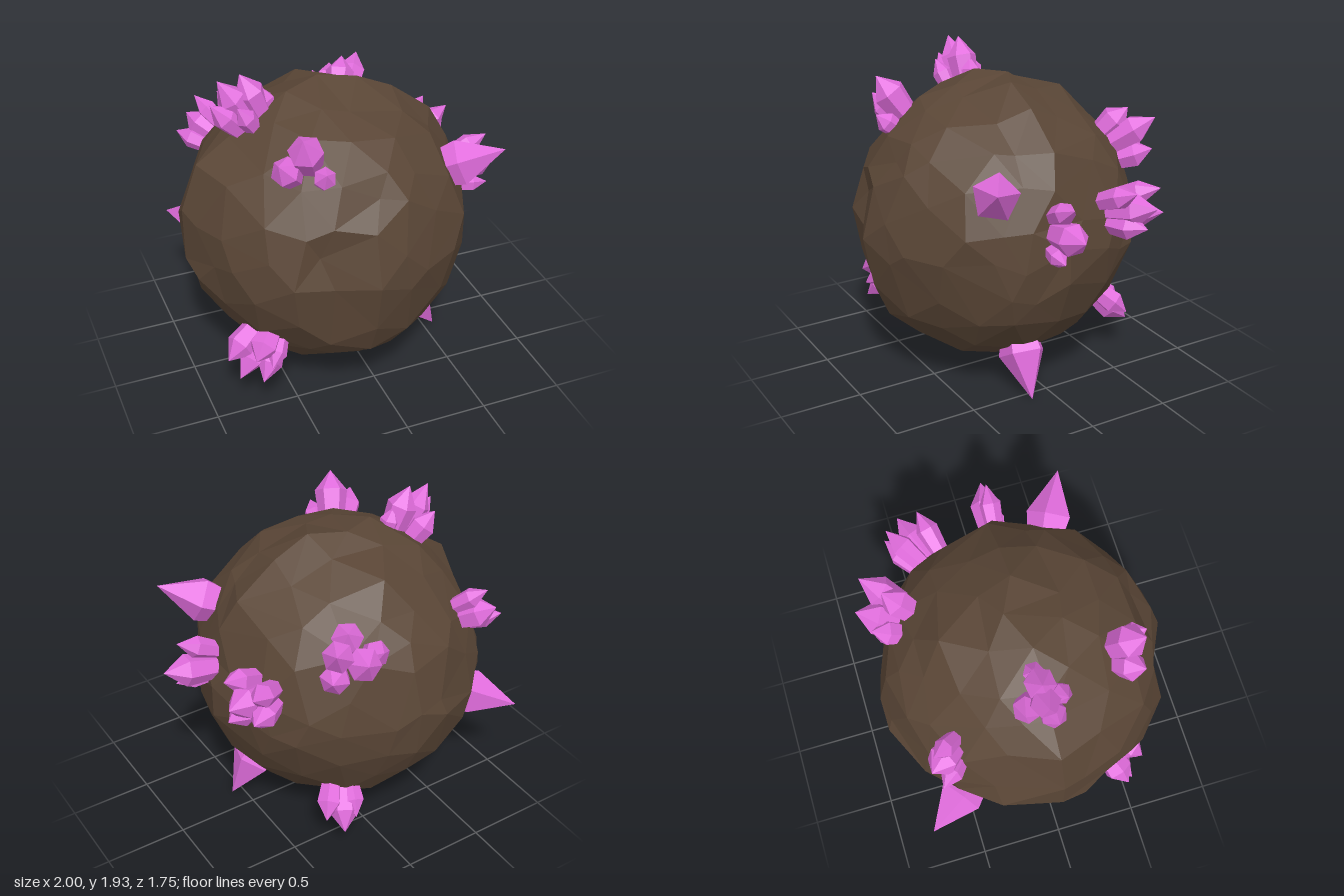
import * as THREE from 'three';
import { mergeVertices } from 'three/addons/utils/BufferGeometryUtils.js';

const CENTER = new THREE.Vector3(-0.125, 0.925, 0);
const rockMaterial = new THREE.MeshStandardMaterial({ color: 0x5a4636, flatShading: true });
const crystalMaterial = new THREE.MeshStandardMaterial({ color: 0xe06cdc, flatShading: true });

function seeded(seed) {
  let s = seed;
  return () => {
    s = (s * 16807) % 2147483647;
    return s / 2147483647;
  };
}

// Outlines of the rock through its centre: x-y, z-y and x-z
const frontOutline = [
  [0.08, 1.81], [-0.35, 1.79], [0.3, 1.71], [0.55, 1.52], [0.74, 1.0], [0.74, 0.79], [0.63, 0.51],
  [-0.16, 0.03], [-0.38, 0.13], [-0.6, 0.2], [-0.92, 0.58], [-1, 0.82], [-1, 1.15], [-0.9, 1.43], [-0.7, 1.57],
];
const sideOutline = [
  [0.24, 1.81], [-0.1, 1.81], [-0.47, 1.68], [-0.87, 1.0], [-0.84, 0.7], [-0.74, 0.5], [-0.25, 0.05],
  [0.3, 0.13], [0.73, 0.42], [0.82, 0.63], [0.88, 0.94], [0.8, 1.25], [0.69, 1.5],
];
const topOutline = [
  [-0.31, -0.87], [0.02, -0.84], [0.68, -0.3], [0.43, 0.65], [0.2, 0.78], [-0.36, 0.77], [-0.94, -0.35],
  [-0.77, -0.57], [-0.91, 0.3],
];
// corners of the hollow on the upper front
const hollow = [[-0.06, 1.4, 0.68], [-0.42, 1.11, 0.7], [-0.06, 1.72, 0.24]];
const landmarks = [
  ...hollow.map((p) => new THREE.Vector3(...p)),
  ...frontOutline.map(([x, y]) => new THREE.Vector3(x, y, CENTER.z)),
  ...sideOutline.map(([z, y]) => new THREE.Vector3(CENTER.x, y, z)),
  ...topOutline.map(([x, z]) => new THREE.Vector3(x, CENTER.y, z)),
];

// Faceted boulder: a jittered icosahedron whose nearest corners are pulled onto the outlines
function makeRock() {
  let geometry = new THREE.IcosahedronGeometry(1, 3);
  geometry.deleteAttribute('normal');
  geometry.deleteAttribute('uv');
  geometry = mergeVertices(geometry, 1e-4);
  const random = seeded(4127);
  const position = geometry.attributes.position;
  const corners = [];
  for (let i = 0; i < position.count; i++) {
    const v = new THREE.Vector3().fromBufferAttribute(position, i);
    v.x += (random() - 0.5) * 0.15;
    v.y += (random() - 0.5) * 0.15;
    v.z += (random() - 0.5) * 0.15;
    corners.push(v.setLength(0.84 + random() * 0.035));
  }
  const moved = new Set();
  for (const landmark of landmarks) {
    const target = landmark.clone().sub(CENTER);
    const nearest = corners.reduce((a, b) => (b.distanceTo(target) < a.distanceTo(target) ? b : a));
    if (moved.has(nearest)) continue;
    nearest.copy(target);
    moved.add(nearest);
  }
  corners.forEach((v, i) => position.setXYZ(i, v.x, v.y, v.z));
  geometry.computeVertexNormals();
  const rock = new THREE.Mesh(geometry, rockMaterial);
  rock.name = 'rock';
  rock.position.copy(CENTER);
  return rock;
}

// One pointed crystal from base to tip; shoulder is the height of its widest ring
function makeCrystal(base, tip, radius, shoulder, sides, twist) {
  const axis = tip.clone().sub(base);
  const length = axis.length();
  const profile = [
    [0, 0],
    [radius * 0.7, 0],
    [radius, length * shoulder],
    [0, length],
  ].map(([x, y]) => new THREE.Vector2(x, y));
  const geometry = new THREE.LatheGeometry(profile, sides);
  geometry.rotateY(twist);
  const crystal = new THREE.Mesh(geometry, crystalMaterial);
  crystal.name = 'crystal';
  crystal.position.copy(base);
  crystal.quaternion.setFromUnitVectors(new THREE.Vector3(0, 1, 0), axis.normalize());
  return crystal;
}

// Clusters: each crystal is [tip x, tip y, tip z, radius]
const clusters = {
  topCluster: [
    [-0.74, 1.91, -0.03, 0.085], [-0.61, 1.93, -0.03, 0.09], [-0.8, 1.79, 0.01, 0.075],
    [-0.49, 1.83, -0.04, 0.06], [-0.67, 1.79, 0.1, 0.06], [-0.71, 1.79, -0.15, 0.08],
  ],
  upperFrontCluster: [
    [-0.47, 1.8, 0.6, 0.1], [-0.36, 1.6, 0.66, 0.065], [-0.6, 1.66, 0.57, 0.085],
  ],
  leftCluster: [
    [1.0, 1.15, 0.08, 0.095], [0.9, 1.31, 0.09, 0.065], [0.9, 1.0, 0.14, 0.055],
  ],
  leftBackCluster: [
    [0.85, 1.3, -0.36, 0.07], [0.89, 1.2, -0.48, 0.095], [0.87, 1.08, -0.43, 0.08],
    [0.8, 1.13, -0.59, 0.08], [0.79, 1.28, -0.57, 0.07],
  ],
  upperBackCluster: [
    [0.25, 1.48, -0.87, 0.1], [0.41, 1.56, -0.8, 0.09], [0.11, 1.48, -0.81, 0.075],
    [0.27, 1.6, -0.7, 0.09], [0.42, 1.37, -0.78, 0.085],
  ],
  rightBackCluster: [
    [-0.71, 1.52, -0.67, 0.06], [-0.76, 1.4, -0.7, 0.095], [-0.84, 1.31, -0.66, 0.065],
  ],
  lowerFrontCluster: [
    [-0.91, 0.38, 0.48, 0.09], [-0.86, 0.27, 0.53, 0.075], [-0.74, 0.26, 0.6, 0.075],
    [-0.78, 0.43, 0.61, 0.085], [-0.69, 0.37, 0.63, 0.06],
  ],
  lowerBackCluster: [
    [0.29, 0.2, -0.73, 0.09], [0.21, 0.28, -0.73, 0.065], [0.38, 0.29, -0.67, 0.075],
  ],
};

// Large lone crystals: base, tip, radius
const singles = {
  upperLeftCrystal: [[0.42, 1.27, 0.31], [0.8, 1.44, 0.51], 0.14],
  lowerLeftCrystal: [[0.31, 0.41, 0.1], [0.57, 0, 0.14], 0.145],
  lowerRightBackCrystal: [[-0.64, 0.73, -0.42], [-0.92, 0.68, -0.78], 0.14],
};

export function createModel() {
  const model = new THREE.Group();
  model.name = 'crystalRock';
  model.add(makeRock());

  for (const [name, crystals] of Object.entries(clusters)) {
    const group = new THREE.Group();
    group.name = name;
    const directions = crystals.map(([x, y, z]) => new THREE.Vector3(x, y, z).sub(CENTER).normalize());
    const root = new THREE.Vector3();
    directions.forEach((d) => root.add(d));
    root.normalize();
    // crystals fan out from a shared root inside the rock
    crystals.forEach(([x, y, z, radius], i) => {
      const base = root.clone().lerp(directions[i], 0.7).normalize().multiplyScalar(0.75).add(CENTER);
      group.add(makeCrystal(base, new THREE.Vector3(x, y, z), radius, 0.66, 6, i * 0.7));
    });
    model.add(group);
  }

  for (const [name, [base, tip, radius]] of Object.entries(singles)) {
    const crystal = makeCrystal(new THREE.Vector3(...base), new THREE.Vector3(...tip), radius, 0.42, 5, 0.3);
    crystal.name = name;
    model.add(crystal);
  }
  return model;
}
